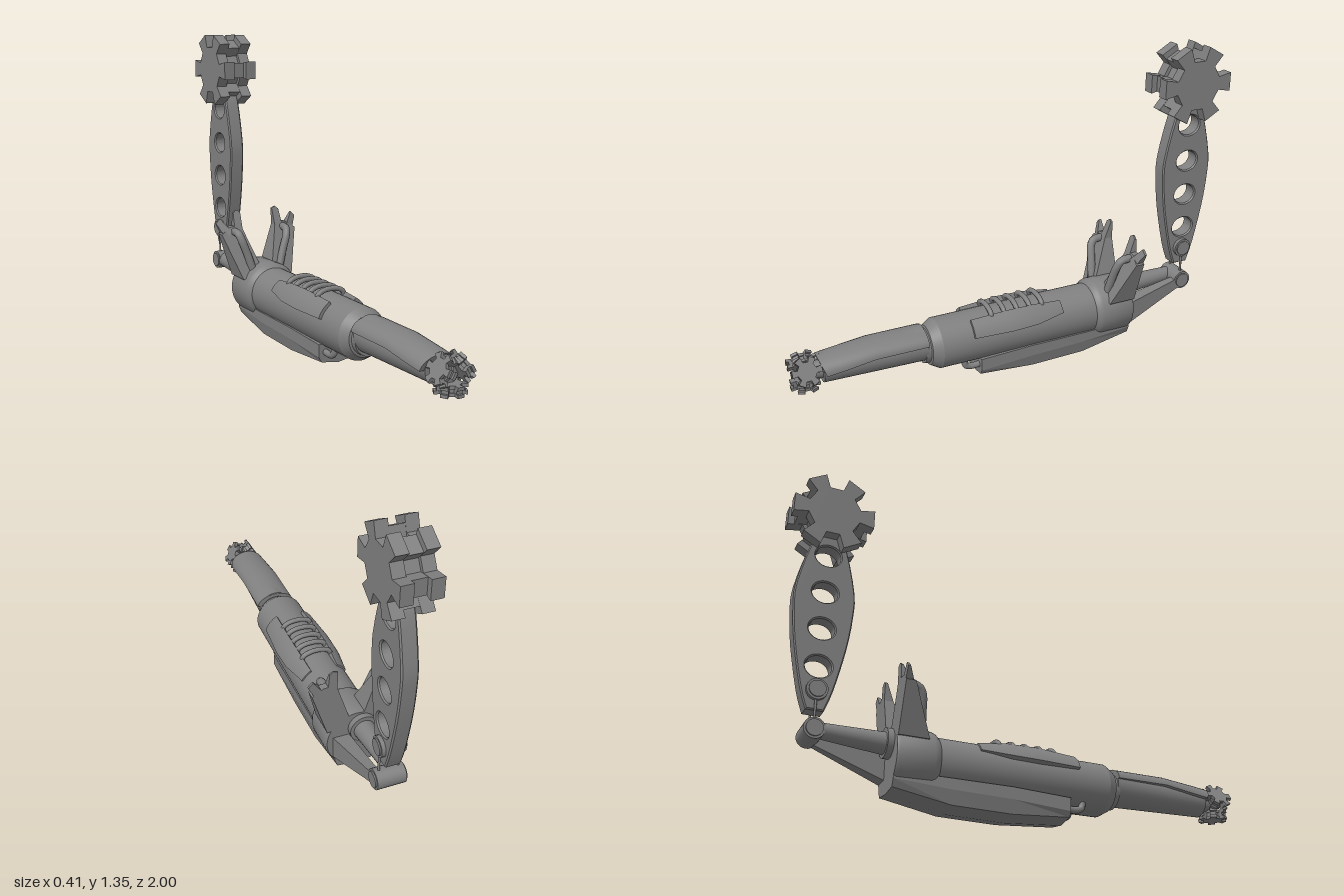
import * as THREE from 'three';
import { toCreasedNormals } from 'three/addons/utils/BufferGeometryUtils.js';

const V = (x, y, z) => new THREE.Vector3(x, y, z);
const mat = new THREE.MeshStandardMaterial({ color: 0x808080 });
const AXIS_Y = 0.19, REAR_Z = -0.835;

function add(parent, name, geometry) {
  const mesh = new THREE.Mesh(geometry, mat);
  mesh.name = name;
  parent.add(mesh);
  return mesh;
}

// Solid through rings of points (counter-clockwise seen from +z), ordered by rising z
function loft(rings, crease = 0.5) {
  const pos = [], n = rings[0].length;
  const tri = (...pts) => pts.forEach(p => pos.push(p.x, p.y, p.z));
  for (let k = 0; k < rings.length - 1; k++) {
    const a = rings[k], b = rings[k + 1];
    for (let i = 0; i < n; i++) {
      const j = (i + 1) % n;
      tri(a[i], a[j], b[j]);
      tri(a[i], b[j], b[i]);
    }
  }
  const first = rings[0], last = rings[rings.length - 1];
  for (let i = 1; i < n - 1; i++) {
    tri(first[0], first[i + 1], first[i]);
    tri(last[0], last[i], last[i + 1]);
  }
  const g = new THREE.BufferGeometry();
  g.setAttribute('position', new THREE.Float32BufferAttribute(pos, 3));
  return toCreasedNormals(g, crease);
}

// Cylinder or cone between two points
function rod(a, b, ra, rb = ra, sides = 24) {
  const d = b.clone().sub(a);
  const g = new THREE.CylinderGeometry(rb, ra, d.length(), sides);
  g.applyQuaternion(new THREE.Quaternion().setFromUnitVectors(V(0, 1, 0), d.normalize()));
  return g.translate(...a.clone().add(b).multiplyScalar(0.5).toArray());
}

function tube(points, r, segments = 20) {
  return new THREE.TubeGeometry(new THREE.CatmullRomCurve3(points), segments, r, 10);
}

// Toothed plate with its axle along x
function gearPlate(scale, width, x) {
  const shape = new THREE.Shape();
  for (let i = 0; i < 6; i++) {
    const c = Math.cos(i * Math.PI / 3), s = Math.sin(i * Math.PI / 3);
    [[0.105, -0.029], [0.165, -0.041], [0.165, 0.041], [0.105, 0.029]].forEach(([r, t], k) => {
      const x0 = (r * c - t * s) * scale, y0 = (r * s + t * c) * scale;
      if (i + k === 0) shape.moveTo(x0, y0); else shape.lineTo(x0, y0);
    });
  }
  shape.closePath();
  return new THREE.ExtrudeGeometry(shape, { depth: width, bevelEnabled: false })
    .translate(0, 0, -width / 2).rotateY(Math.PI / 2).translate(x, 0, 0);
}

// Two outer plates with a smaller plate between them
function gearWheel(name) {
  const g = new THREE.Group();
  g.name = name;
  for (const s of [-1, 1]) add(g, 'outerGear', gearPlate(1, 0.05, s * 0.055));
  add(g, 'innerGear', gearPlate(0.84, 0.06, 0));
  return g;
}

// Forked wedge fin with a raised handle; built leaning to +x
function fin(side) {
  const g = new THREE.Group();
  g.name = side > 0 ? 'leftFin' : 'rightFin';
  const slab = (pts, front) => {
    const ring = back => pts.map(([x, y], i) => V(x * side, y, back ? -0.535 : front[i]));
    const rings = [ring(true), ring(false)];
    if (side < 0) rings.forEach(r => r.reverse());
    return loft(rings, 0.2);
  };
  add(g, 'finBlade', slab([[0.02, 0.27], [0.125, 0.25], [0.19, 0.45], [0.145, 0.48], [0.09, 0.485]],
    [-0.41, -0.41, -0.495, -0.505, -0.505]));
  add(g, 'innerProng', slab([[0.085, 0.45], [0.125, 0.45], [0.118, 0.54], [0.102, 0.553], [0.083, 0.545]],
    [-0.49, -0.49, -0.525, -0.53, -0.525]));
  add(g, 'outerProng', slab([[0.14, 0.46], [0.17, 0.43], [0.206, 0.5], [0.185, 0.52]],
    [-0.49, -0.49, -0.525, -0.525]));
  add(g, 'finHandle', tube([V(0.065 * side, 0.27, -0.425), V(0.092 * side, 0.36, -0.435),
    V(0.117 * side, 0.43, -0.445), V(0.124 * side, 0.455, -0.462), V(0.126 * side, 0.458, -0.52)], 0.018));
  return g;
}

export function createModel() {
  const root = new THREE.Group();
  root.name = 'mechanicalTool';

  // Main round housing, rear collar and front neck
  const profile = [[0, -0.535], [0.125, -0.535], [0.13, -0.525], [0.13, -0.385], [0.125, -0.37], [0.112, -0.355],
    [0.11, 0.375], [0.086, 0.415], [0.076, 0.418], [0.074, 0.44], [0, 0.44]].map(([r, z]) => new THREE.Vector2(r, z));
  add(root, 'housing', toCreasedNormals(new THREE.LatheGeometry(profile, 40), 0.5))
    .geometry.rotateX(Math.PI / 2).translate(0, AXIS_Y, 0);

  // Front barrel with an arched cover
  add(root, 'barrel', rod(V(0, 0.208, 0.43), V(0, 0.2, 0.87), 0.078, 0.061, 32));
  const arch = ([z, w, base, top, tip]) => Array.from({ length: 17 }, (_, i) => {
    const a = i / 16 * Math.PI;
    return V(w * Math.cos(a), base + (top - base) * Math.sin(a), z + tip * Math.sin(a));
  });
  add(root, 'barrelCover', loft([[0.43, 0.087, 0.228, 0.281, 0], [0.66, 0.086, 0.228, 0.281, 0],
    [0.8, 0.084, 0.208, 0.267, 0.005], [0.865, 0.082, 0.2, 0.258, 0.02]].map(arch)));

  // Three small gear wheels around the muzzle
  add(root, 'muzzleHub', rod(V(0, 0.197, 0.86), V(0, 0.197, 0.94), 0.04, 0.03));
  for (const deg of [-90, 30, 150]) {
    const a = deg * Math.PI / 180, w = gearWheel('muzzleGear');
    w.scale.set(0.25, 0.365, 0.365);
    w.position.set(0.047 * Math.cos(a), 0.197 + 0.047 * Math.sin(a), 0.938);
    w.rotation.z = a;
    root.add(w);
  }

  // Bulged side plates on the housing
  for (const s of [1, -1]) {
    const a0 = 0.33, a1 = 1.04, steps = 8;
    const ring = ([z, r, low]) => {
      const pts = [];
      for (let i = 0; i <= steps * 2 + 1; i++) {
        const outer = i <= steps, t = (outer ? i : steps * 2 + 1 - i) / steps;
        const a = a0 + low + (a1 - a0 - low) * t, rr = outer ? r : 0.1;
        pts.push(V(s * rr * Math.cos(a), AXIS_Y + rr * Math.sin(a), z));
      }
      return s > 0 ? pts : pts.reverse();
    };
    add(root, 'sidePlate', loft([[-0.19, 0.118, 0.2], [-0.06, 0.134, 0.03], [0.06, 0.136, 0],
      [0.235, 0.124, 0.03]].map(ring)));
  }

  // Cooling ribs over the top
  for (let i = 0; i < 5; i++) {
    const z = -0.1 + i * 0.06;
    add(root, 'topRib', tube([V(-0.07, 0.265, z), V(-0.06, 0.303, z), V(-0.03, 0.318, z), V(0, 0.321, z),
      V(0.03, 0.318, z), V(0.06, 0.303, z), V(0.07, 0.265, z)], 0.011));
  }

  // Faceted keel and its front hooks
  const keelRing = ([z, w, top, mid, low, v]) => [V(w * 0.86, low, z), V(w, mid, z), V(w, top, z),
    V(-w, top, z), V(-w, mid, z), V(-w * 0.86, low, z), V(0, v, z)];
  add(root, 'keel', loft([[-0.535, 0.09, 0.12, 0.09, 0.06, 0.052], [-0.3, 0.095, 0.12, 0.075, 0.018, 0.004],
    [-0.05, 0.095, 0.12, 0.07, 0.014, 0], [0.2, 0.092, 0.11, 0.055, 0.033, 0.02]].map(keelRing), 0.1));
  for (const s of [-1, 1]) {
    add(root, 'keelHook', tube([V(s * 0.06, 0.075, 0.18), V(s * 0.06, 0.073, 0.24),
      V(s * 0.06, 0.083, 0.262), V(s * 0.06, 0.12, 0.268)], 0.014));
    root.add(fin(s));
  }

  // Rear struts reaching the lower joint
  add(root, 'strutFlange', rod(V(-0.025, 0.245, -0.53), V(-0.025, 0.245, -0.56), 0.06));
  add(root, 'roundStrut', rod(V(-0.025, 0.243, -0.55), V(-0.03, 0.253, REAR_Z), 0.045, 0.03));
  add(root, 'flatStrut', loft([
    [V(0.025, 0.22, REAR_Z), V(0.055, 0.22, REAR_Z), V(0.055, 0.265, REAR_Z), V(0.025, 0.265, REAR_Z)],
    [V(0.03, 0.115, -0.53), V(0.1, 0.115, -0.53), V(0.1, 0.215, -0.53), V(0.03, 0.215, -0.53)]], 0.1));

  // Pivot joints with stepped ends, joined by thin wires
  for (const [name, y, x] of [['lowerJoint', 0.25, 0.06], ['upperJoint', 0.41, 0.05]]) {
    add(root, name, rod(V(-x, y, REAR_Z), V(x, y, REAR_Z), 0.042));
    add(root, name + 'Cap', rod(V(-x - 0.006, y, REAR_Z), V(x + 0.006, y, REAR_Z), 0.033));
  }
  for (const s of [-1, 1]) {
    add(root, 'linkWire', rod(V(s * 0.04, 0.25, REAR_Z), V(s * 0.04, 0.41, REAR_Z), 0.005, 0.005, 8));
  }

  // Upright arm with four openings
  const half = new THREE.SplineCurve([[0.035, 0.33], [0.065, 0.42], [0.103, 0.6], [0.119, 0.74], [0.118, 0.85],
    [0.075, 1.03], [0.04, 1.085]].map(p => new THREE.Vector2(...p))).getPoints(18);
  const shape = new THREE.Shape([...half, ...half.map(p => new THREE.Vector2(-p.x, p.y)).reverse()]);
  for (const y of [0.51, 0.67, 0.83, 0.995]) {
    shape.holes.push(new THREE.Path().absellipse(0, y, 0.052, 0.045, 0, Math.PI * 2, true));
  }
  const arm = new THREE.ExtrudeGeometry(shape, { depth: 0.056, bevelThickness: 0.006, bevelSize: 0.005,
    bevelOffset: -0.005, bevelSegments: 1, curveSegments: 24 });
  add(root, 'arm', toCreasedNormals(arm.translate(0, 0, -0.028).rotateY(Math.PI / 2), 0.4))
    .position.z = REAR_Z;

  // Large gear wheel on top of the arm
  const wheel = gearWheel('topGear');
  wheel.position.set(0, 1.183, REAR_Z);
  root.add(wheel);
  return root;
}
